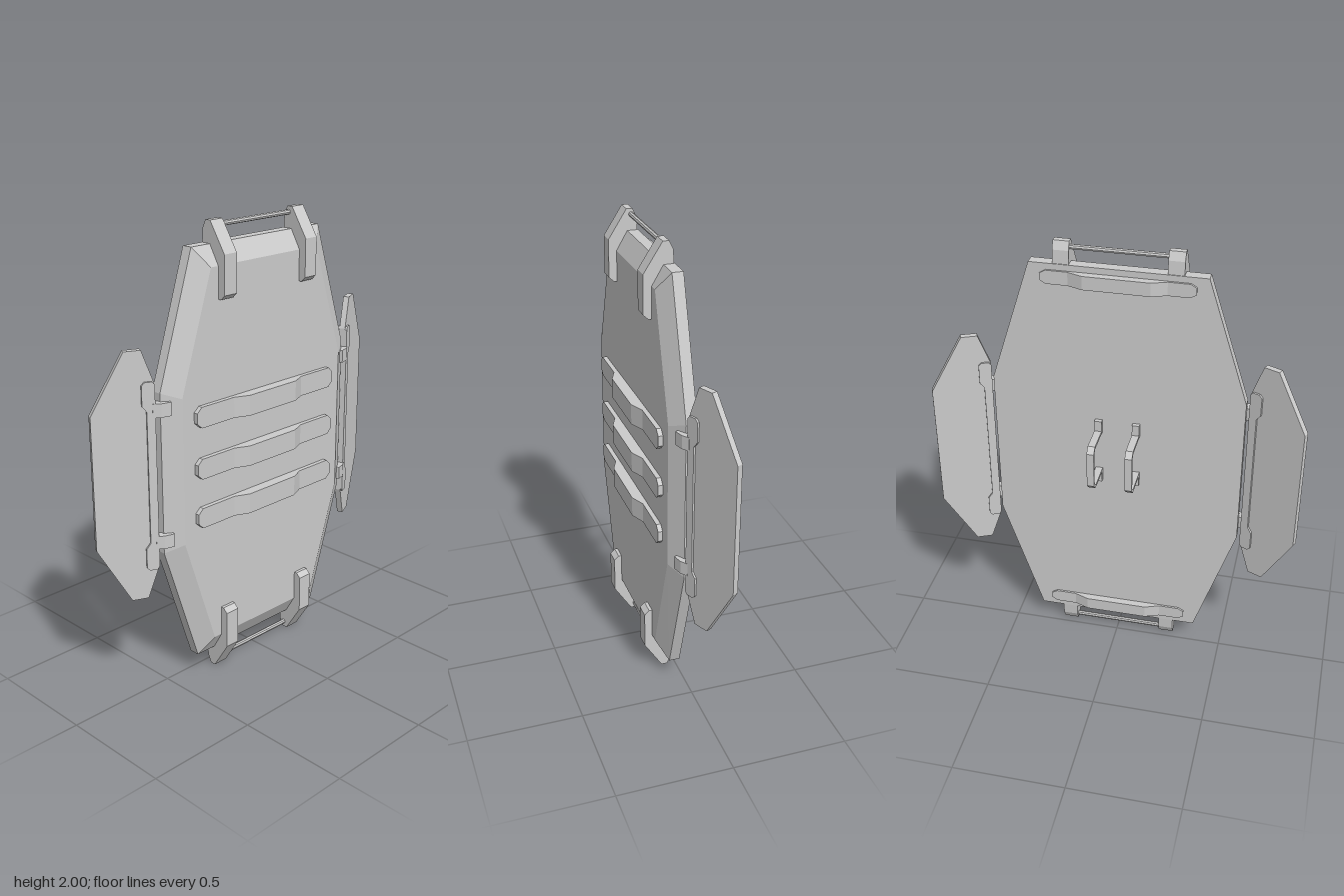
import * as THREE from 'three';
import { ConvexGeometry } from 'three/addons/geometries/ConvexGeometry.js';

const material = new THREE.MeshStandardMaterial({ color: 0xcccccc, flatShading: true });

function add(parent, name, geometry, x = 0, y = 0, z = 0) {
  const mesh = new THREE.Mesh(geometry, material);
  mesh.name = name;
  mesh.position.set(x, y, z);
  parent.add(mesh);
  return mesh;
}

// Flat outline extruded along z, centred on its depth
function plate(points, depth) {
  const shape = new THREE.Shape(points.map(([x, y]) => new THREE.Vector2(x, y)));
  return new THREE.ExtrudeGeometry(shape, { depth, bevelEnabled: false }).translate(0, 0, -depth / 2);
}

// Side profile given as [z, y], extruded along x
const sideProfile = (points, width) => plate(points, width).rotateY(-Math.PI / 2);

// Outline mirrored from its upper half (given top edge inner to outer)
const mirrorY = (half) => [...half, ...half.map(([x, y]) => [x, -y]).reverse()];

// Bar with chamfered ends and a raised middle, standing on z = 0
function raisedBar(halfLength, halfHeight, low, high) {
  const half = [
    [halfLength, halfHeight * 0.5, low], [halfLength - 0.025, halfHeight, low],
    [0.205, halfHeight, low], [0.14, halfHeight, high],
  ];
  const stations = [...half.map(([x, h, z]) => [-x, h, z]), ...half.slice().reverse()];
  const n = stations.length - 1;
  const geometry = new THREE.BoxGeometry(1, 1, 1, n, 1, 1);
  const p = geometry.attributes.position;
  for (let i = 0; i < p.count; i++) {
    const [x, h, z] = stations[Math.round((p.getX(i) + 0.5) * n)];
    p.setXYZ(i, x, Math.sign(p.getY(i)) * h, p.getZ(i) > 0 ? z : 0);
  }
  geometry.computeVertexNormals();
  return geometry;
}

export function createModel() {
  const model = new THREE.Group();
  model.name = 'shield';
  const shield = new THREE.Group();
  shield.name = 'shieldAssembly';
  shield.position.y = 1;
  model.add(shield);

  // Main slab with a bevelled front rim
  const ring = (topX, topY, sideX, sideY, z) => [[topX, topY], [sideX, sideY]].flatMap(([x, y]) =>
    [[1, 1], [1, -1], [-1, 1], [-1, -1]].map(([a, b]) => new THREE.Vector3(a * x, b * y, z)));
  add(shield, 'body', new ConvexGeometry([
    ...ring(0.37, 0.907, 0.549, 0.35, 0.013),
    ...ring(0.37, 0.907, 0.549, 0.35, 0.06),
    ...ring(0.31, 0.825, 0.474, 0.32, 0.108),
  ]));

  // Raised bars across the front
  for (const y of [-0.22, 0, 0.225]) add(shield, 'frontBar', raisedBar(0.412, 0.045, 0.022, 0.05), 0, y, 0.106);

  const bracket = sideProfile([
    [0.063, 1], [0.037, 1], [0.02, 0.965], [0.016, 0.9], [0.06, 0.9], [0.1, 0.825],
    [0.1, 0.69], [0.122, 0.69], [0.143, 0.71], [0.143, 0.875],
  ], 0.068);
  const rod = new THREE.CylinderGeometry(0.011, 0.011, 0.42, 8).rotateZ(Math.PI / 2);
  const panel = plate(mirrorY([[0, 0.4], [0.05, 0.538], [0.12, 0.538], [0.262, 0.288]]), 0.026);
  const hingePlate = plate(mirrorY([
    [0, 0.395], [0.01, 0.408], [0.042, 0.408], [0.055, 0.395], [0.055, 0.31], [0.036, 0.285],
  ]), 0.044);
  // Clip profile given as [x, -z] and laid along y
  const clip = plate([
    [0.513, -0.078], [0.52, -0.094], [0.562, -0.082], [0.59, -0.062], [0.58, -0.035], [0.545, -0.045],
  ], 0.058).rotateX(-Math.PI / 2);
  clip.scale(1, 1, 1);

  for (const turn of [0, Math.PI]) {
    // Hooked brackets, their rod and the rear bar, at the top and bottom
    const end = new THREE.Group();
    end.name = turn ? 'bottomEnd' : 'topEnd';
    end.rotation.z = turn;
    shield.add(end);
    for (const x of [-0.236, 0.236]) add(end, 'bracket', bracket, x);
    add(end, 'rod', rod, 0, 0.975, 0.043);
    add(end, 'rearBar', raisedBar(0.322, 0.03, 0.01, 0.034), 0, 0.85, 0.014).rotation.y = Math.PI;

    // Swept-back wing with its hinge
    const side = new THREE.Group();
    side.name = turn ? 'rightWing' : 'leftWing';
    side.rotation.z = turn;
    shield.add(side);
    const wing = new THREE.Group();
    wing.name = 'wing';
    wing.position.set(0.57, 0, 0.046);
    wing.rotation.y = 0.42;
    side.add(wing);
    add(wing, 'wingPanel', panel);
    add(wing, 'hingePlate', hingePlate);
    for (const y of [-0.287, 0.287]) add(side, 'hingeClip', clip, 0, y);
  }

  // Pair of strap handles on the back, with feet
  const outer = [[0.015, 0.158], [-0.006, 0.158], [-0.006, 0.108], [-0.128, 0.108], [-0.153, 0.082]];
  const inner = [[-0.14, 0.077], [-0.123, 0.095], [0.015, 0.095]];
  const handle = sideProfile([
    ...outer, ...outer.map(([z, y]) => [z, -y]).reverse(),
    ...inner.map(([z, y]) => [z, -y]).reverse(), ...inner,
  ], 0.032);
  for (const x of [-0.083, 0.083]) add(shield, 'handle', handle, x, 0.035);

  return model;
}
